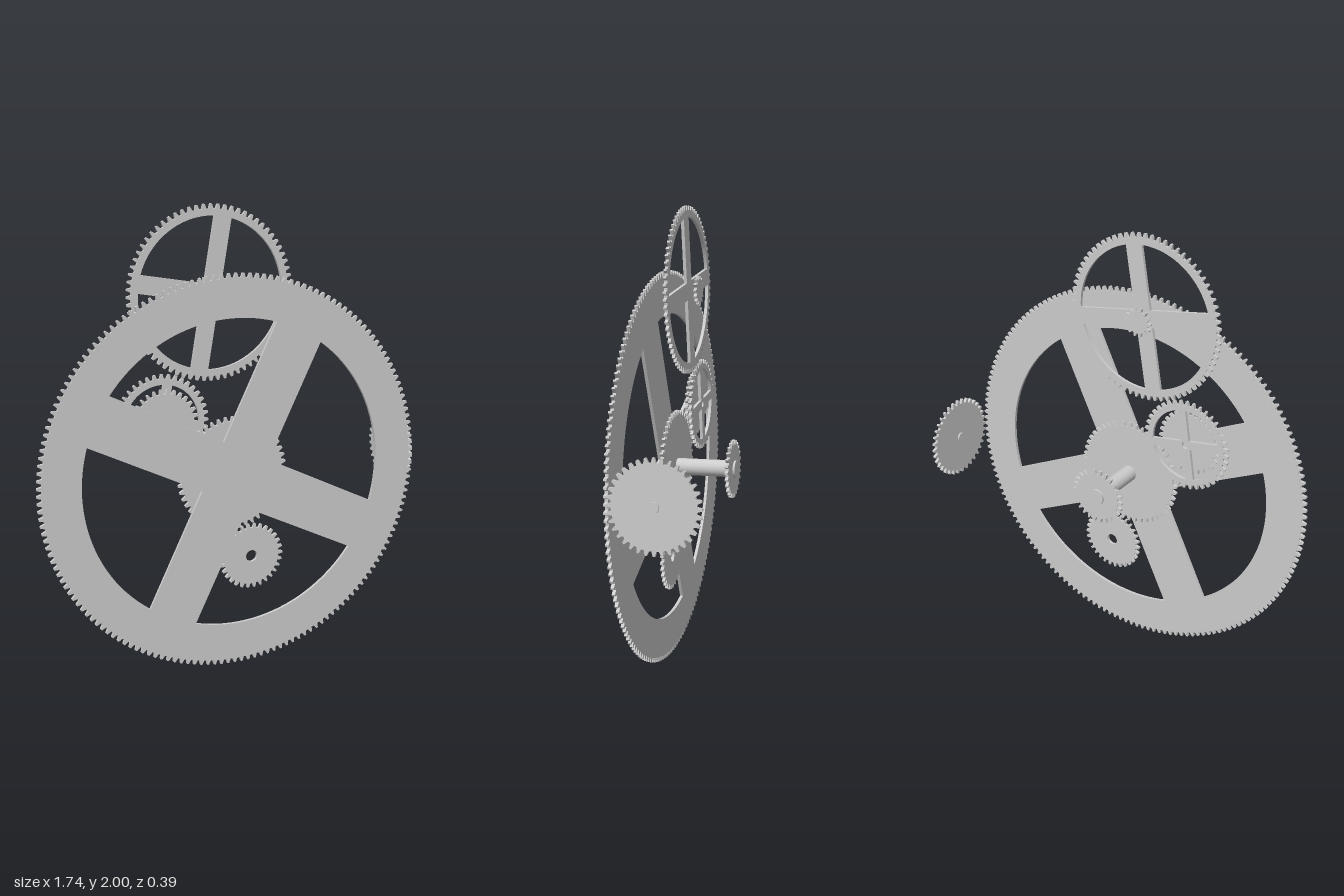
import * as THREE from 'three';

const T = 0.014; // plate thickness of every gear
const mat = new THREE.MeshStandardMaterial({ color: 0xcccccc });
const polar = (r, a) => new THREE.Vector2(r * Math.cos(a), r * Math.sin(a));

// Outline with trapezoid teeth
function toothedOutline(R, teeth, depth) {
  const pts = [];
  const step = (Math.PI * 2) / teeth;
  for (let i = 0; i < teeth; i++) {
    const a = i * step;
    pts.push(polar(R - depth, a - step * 0.33), polar(R, a - step * 0.13),
      polar(R, a + step * 0.13), polar(R - depth, a + step * 0.33));
  }
  return new THREE.Shape(pts);
}

// Four openings left between parallel-sided spokes
function addWindows(shape, r, halfWidth, angle) {
  const start = Math.asin(halfWidth / r);
  const end = Math.PI / 2 - start;
  for (let k = 0; k < 4; k++) {
    const turn = angle + (k * Math.PI) / 2;
    const pts = [polar(halfWidth * Math.SQRT2, turn + Math.PI / 4)];
    for (let i = 0; i <= 24; i++) pts.push(polar(r, turn + start + ((end - start) * i) / 24));
    shape.holes.push(new THREE.Path(pts));
  }
}

function gear(name, { R, teeth, pos, depth = 0.02, spokes, bore }) {
  const shape = toothedOutline(R, teeth, depth);
  if (spokes) addWindows(shape, spokes.r, spokes.halfWidth, THREE.MathUtils.degToRad(spokes.deg));
  if (bore) shape.holes.push(new THREE.Path().absarc(0, 0, bore, 0, Math.PI * 2, true));
  const geo = new THREE.ExtrudeGeometry(shape, { depth: T, bevelEnabled: false, curveSegments: 24 });
  geo.translate(0, 0, -T / 2);
  const mesh = new THREE.Mesh(geo, mat);
  mesh.name = name;
  mesh.position.set(...pos);
  return mesh;
}

function rod(name, radius, length, pos) {
  const geo = new THREE.CylinderGeometry(radius, radius, length, 32).rotateX(Math.PI / 2);
  const mesh = new THREE.Mesh(geo, mat);
  mesh.name = name;
  mesh.position.set(...pos);
  return mesh;
}

export function createModel() {
  const model = new THREE.Group();
  model.name = 'gearTrain';
  const cx = -0.01, cy = 0.863;   // main axis
  const ix = -0.315, iy = 1.105;  // intermediate axis
  const tx = -0.095, ty = 1.635;  // upper axis

  // Main axis: large spoked wheel, solid gear, rear gear and shaft
  model.add(
    gear('mainWheel', { R: 0.861, teeth: 168, pos: [cx, cy, 0.188],
      spokes: { r: 0.675, halfWidth: 0.114, deg: 64.4 } }),
    gear('centreGear', { R: 0.25, teeth: 48, pos: [cx, cy, 0.156] }),
    gear('rearGear', { R: 0.128, teeth: 26, pos: [cx, cy, -0.101] }),
    rod('mainShaft', 0.037, 0.3, [cx, cy, 0.033]),
  );

  // Lower idler meshing with the centre gear
  model.add(gear('lowerGear', { R: 0.148, teeth: 30, pos: [0.08, 0.478, 0.156], bore: 0.026 }));

  // Intermediate axis: solid gear in front of a spoked wheel
  model.add(
    gear('intermediateGear', { R: 0.15, teeth: 30, pos: [ix, iy, 0.156] }),
    gear('intermediateWheel', { R: 0.207, teeth: 40, pos: [ix, iy, 0.124],
      spokes: { r: 0.163, halfWidth: 0.02, deg: 81 }, bore: 0.016 }),
  );

  // Upper axis: spoked wheel with a small pinion behind it
  model.add(
    gear('upperWheel', { R: 0.366, teeth: 72, pos: [tx, ty, 0.124],
      spokes: { r: 0.318, halfWidth: 0.038, deg: 80.5 } }),
    gear('upperPinion', { R: 0.064, teeth: 14, depth: 0.015, pos: [tx, ty, 0.077] }),
  );

  // Side gear turned at right angles to the main wheel
  const side = new THREE.Group();
  side.name = 'sideGear';
  side.add(
    gear('sideGearDisc', { R: 0.188, teeth: 36, pos: [0, 0, 0] }),
    rod('sideGearHub', 0.022, 0.03, [0, 0, 0]),
  );
  side.rotation.y = Math.PI / 2;
  side.position.set(0.853, 0.867, -0.006);
  model.add(side);

  return model;
}
